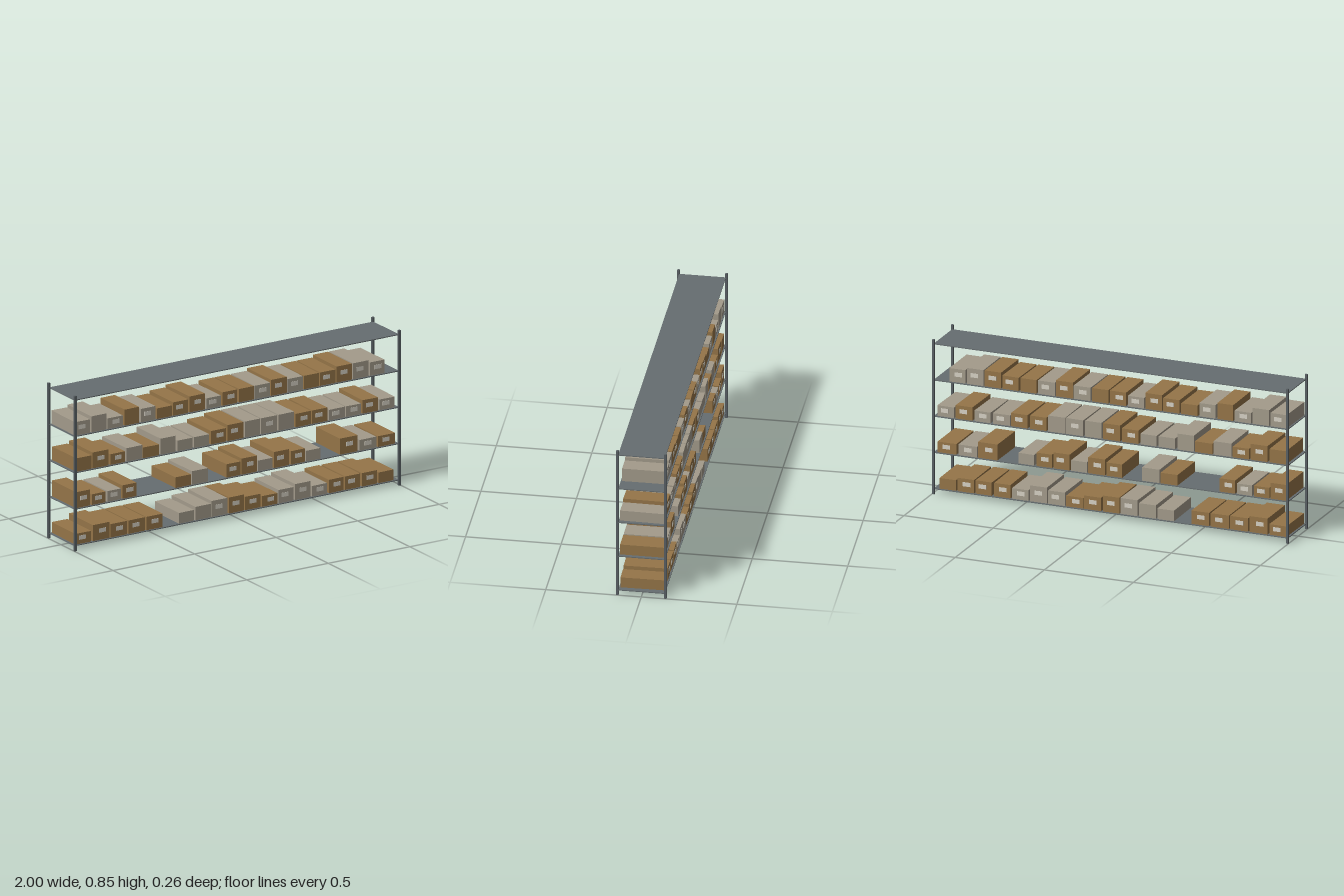
import * as THREE from 'three';

const steel = new THREE.MeshStandardMaterial({ name: 'post steel', color: 0x596064 });
const plate = new THREE.MeshStandardMaterial({ name: 'shelf steel', color: 0x666d70 });
const brown = new THREE.MeshStandardMaterial({ name: 'brown cardboard', color: 0x957548 });
const grey = new THREE.MeshStandardMaterial({ name: 'grey cardboard', color: 0xa39b8b });
const paper = new THREE.MeshStandardMaterial({ name: 'label paper', color: 0xd6d1c4 });

const SHELVES = 5, FIRST_SHELF = 0.027, SHELF_GAP = 0.198, SHELF_T = 0.005;
const DEPTH = 0.23;
const HEIGHTS = { s: 0.058, m: 0.073, l: 0.087 }; // small, medium and large cartons

// Runs of boxes: shelf, start x, end x, sizes in order (capitals are grey cartons)
const RUNS = [
  [0, -0.99, -0.445, 'slmmm'],
  [0, -0.355, 0.97, 'SMLlmsMLSmmms'],
  [1, -0.985, -0.605, 'lsSm'],
  [1, -0.375, -0.17, 'sM'],
  [1, -0.065, 0.525, 'mlSlmS'],
  [1, 0.635, 0.98, 'lSs'],
  [2, -0.985, 0.98, 'mlsMsLSSmlLLLmmSSmS'],
  [3, -0.99, 0.915, 'MLSlMsmlSmmMlMmmlLM'],
];

// Small seeded generator for labels, widths and untidiness
let seed = 1;
function random() {
  seed = (seed * 16807) % 2147483647;
  return seed / 2147483647;
}

const shelfY = (i) => FIRST_SHELF + i * SHELF_GAP;

function addBox(parent, name, size, pos, material) {
  const mesh = new THREE.Mesh(new THREE.BoxGeometry(...size), material);
  mesh.position.set(...pos);
  mesh.name = name;
  parent.add(mesh);
}

// Carton standing on its base, most with a paper label on both ends
function storageBox(width, kind) {
  const group = new THREE.Group();
  group.name = 'storageBox';
  const size = kind.toLowerCase();
  const h = HEIGHTS[size];
  addBox(group, 'carton', [width, h, DEPTH], [0, h / 2, 0], kind === size ? brown : grey);
  if (random() < 0.7) {
    const shift = (random() - 0.5) * 0.015;
    for (const side of [1, -1]) {
      addBox(group, 'label', [0.042, 0.023, 0.002], [side * shift, h * 0.58, side * DEPTH / 2], paper);
    }
  }
  group.rotation.y = (random() - 0.5) * 0.03;
  return group;
}

// Row of cartons packed side by side between two x positions
function boxRun([shelf, start, end, kinds]) {
  const group = new THREE.Group();
  group.name = 'boxRun';
  const pitch = (end - start) / kinds.length;
  [...kinds].forEach((kind, i) => {
    const box = storageBox(pitch * (0.88 + 0.08 * random()), kind);
    box.position.x = start + (i + 0.5) * pitch;
    group.add(box);
  });
  group.position.y = shelfY(shelf) + SHELF_T / 2;
  return group;
}

export function createModel() {
  seed = 20;
  const model = new THREE.Group();
  model.name = 'storageRack';

  // Four corner posts
  for (const x of [-0.9935, 0.9935]) {
    for (const z of [-0.1255, 0.1255]) {
      addBox(model, 'post', [0.013, 0.845, 0.013], [x, 0.4225, z], steel);
    }
  }

  // Thin shelves, the top one left empty
  for (let i = 0; i < SHELVES; i++) {
    addBox(model, 'shelf', [1.987, SHELF_T, 0.244], [0, shelfY(i), 0], plate);
  }

  for (const run of RUNS) model.add(boxRun(run));
  return model;
}
